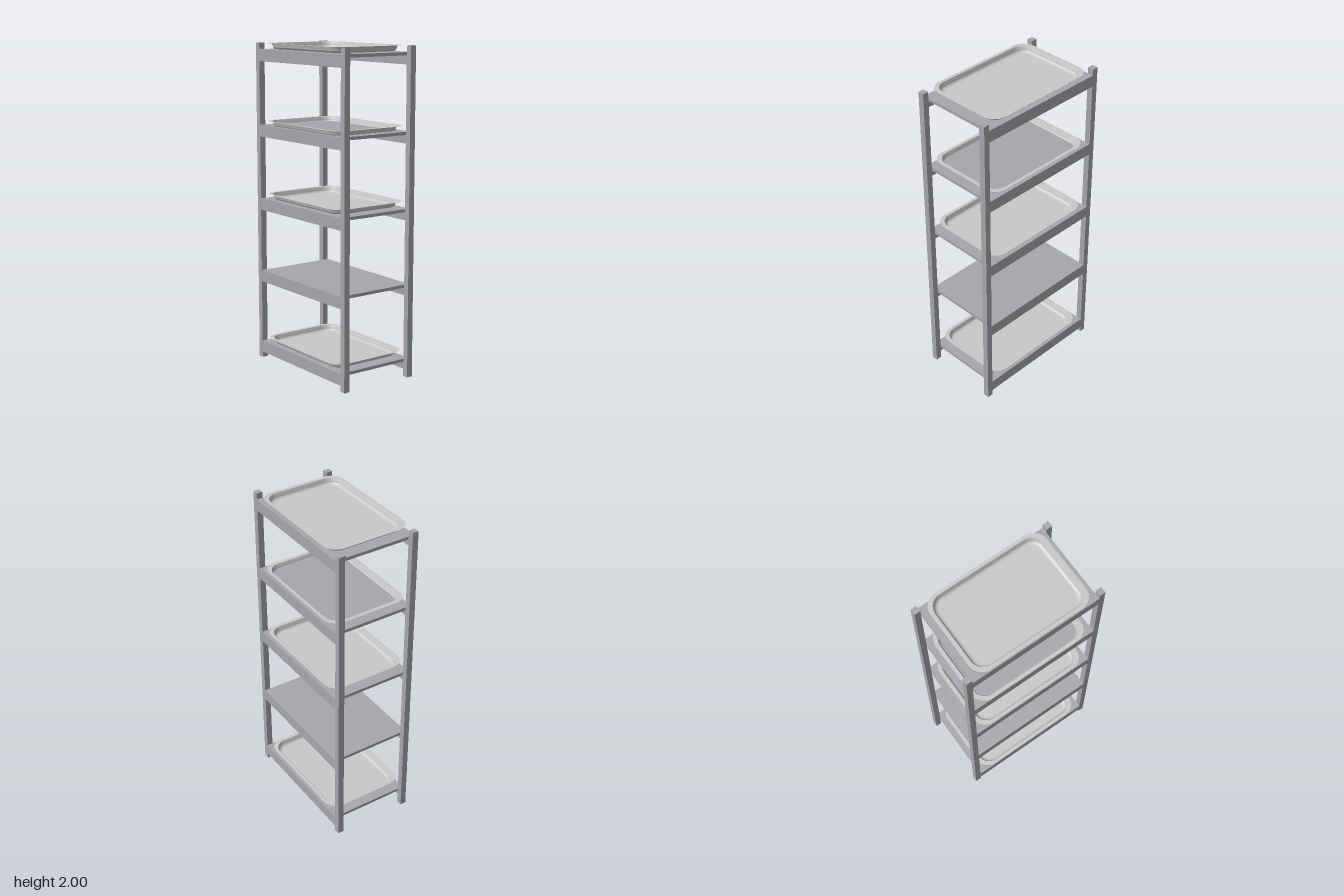
import * as THREE from 'three';

const frameGrey = new THREE.MeshStandardMaterial({ name: 'frame grey', color: 0xa6a7ac });
const trayGrey = new THREE.MeshStandardMaterial({ name: 'tray light grey', color: 0xc8c8c8, side: THREE.DoubleSide });

const CORNER_STEPS = 7;

function box(name, w, h, d, x, y, z) {
  const mesh = new THREE.Mesh(new THREE.BoxGeometry(w, h, d), frameGrey);
  mesh.name = name;
  mesh.position.set(x, y, z);
  return mesh;
}

// Points [x, z] round a rectangle with rounded corners
function roundedLoop(hx, hz, r) {
  const points = [];
  [[1, 1], [-1, 1], [-1, -1], [1, -1]].forEach(([sx, sz], corner) => {
    for (let i = 0; i <= CORNER_STEPS; i++) {
      const a = (corner + i / CORNER_STEPS) * Math.PI / 2;
      points.push([sx * (hx - r) + Math.cos(a) * r, sz * (hz - r) + Math.sin(a) * r]);
    }
  });
  return points;
}

// Loft of rounded rectangles [halfX, halfZ, radius, y] from the outside in
function loft(sections, closed) {
  const positions = [], index = [];
  let n = 0;
  for (const [hx, hz, r, y] of sections) {
    const loop = roundedLoop(hx, hz, r);
    n = loop.length;
    loop.forEach(([x, z]) => positions.push(x, y, z));
  }
  for (let s = 0; s < sections.length - 1; s++) {
    for (let i = 0; i < n; i++) {
      const a = s * n + i, b = s * n + (i + 1) % n;
      index.push(a, a + n, b, b, a + n, b + n);
    }
  }
  if (closed) {
    const last = (sections.length - 1) * n, centre = positions.length / 3;
    positions.push(0, sections[sections.length - 1][3], 0);
    for (let i = 0; i < n; i++) index.push(last + i, centre, last + (i + 1) % n);
  }
  const geometry = new THREE.BufferGeometry();
  geometry.setAttribute('position', new THREE.Float32BufferAttribute(positions, 3));
  geometry.setIndex(index);
  geometry.computeVertexNormals();
  return geometry;
}

// Tray: flat rim, sloping wall, rounded fillet and flat floor
const TRAY_HEIGHT = 0.038;
const rimGeometry = loft([
  [0.38, 0.263, 0.085, TRAY_HEIGHT],
  [0.357, 0.243, 0.08, TRAY_HEIGHT],
], false);
const bowlSections = [[0.357, 0.243, 0.08, TRAY_HEIGHT], [0.352, 0.238, 0.077, 0.025]];
for (let i = 0; i <= 5; i++) {
  const a = i / 5 * Math.PI / 2;
  const inset = 0.007 + 0.022 * (1 - Math.cos(a));
  bowlSections.push([0.357 - inset, 0.243 - inset, 0.08 - inset, 0.02 - 0.017 * Math.sin(a)]);
}
bowlSections.push([0.318, 0.204, 0.045, 0.003]);
const bowlGeometry = loft(bowlSections, true);

function makeTray(y) {
  const tray = new THREE.Group();
  tray.name = 'tray';
  const rim = new THREE.Mesh(rimGeometry, trayGrey);
  rim.name = 'trayRim';
  const bowl = new THREE.Mesh(bowlGeometry, trayGrey);
  bowl.name = 'trayBowl';
  tray.add(rim, bowl);
  tray.position.y = y;
  return tray;
}

// Shelf: flat panel with a deeper rail along front and back
function makeShelf(top) {
  const shelf = new THREE.Group();
  shelf.name = 'shelf';
  shelf.add(box('shelfPanel', 0.826, 0.019, 0.48, 0, top - 0.0095, 0));
  for (const side of [1, -1]) {
    shelf.add(box(side > 0 ? 'frontRail' : 'backRail', 0.826, 0.073, 0.02, 0, top - 0.0365, side * 0.249));
  }
  return shelf;
}

export function createModel() {
  const rack = new THREE.Group();
  rack.name = 'trayRack';

  // Corner posts
  for (const x of [1, -1]) {
    for (const z of [1, -1]) {
      const name = (z > 0 ? 'front' : 'back') + (x > 0 ? 'Left' : 'Right') + 'Post';
      rack.add(box(name, 0.037, 2, 0.038, x * 0.4315, 1, z * 0.24));
    }
  }

  // Five shelves, one of them empty
  [0.109, 0.573, 1.035, 1.497, 1.961].forEach((top, i) => {
    rack.add(makeShelf(top));
    if (i !== 1) rack.add(makeTray(i === 3 ? top - 0.009 : top));
  });

  return rack;
}
